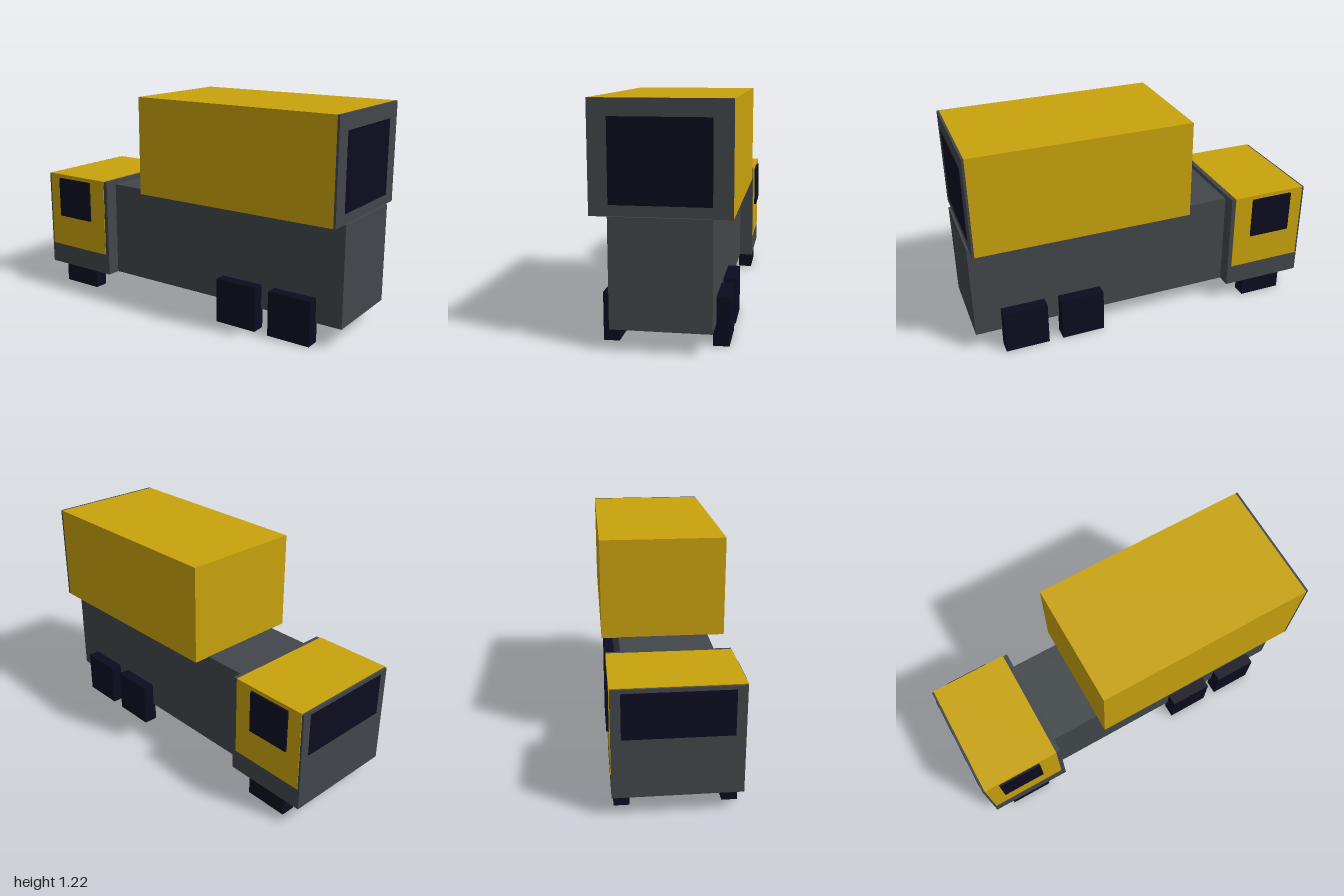
import * as THREE from 'three';

function material(name, color) {
  const m = new THREE.MeshStandardMaterial({ color });
  m.name = name;
  return m;
}

export function createModel() {
  const grey = material('slate grey', 0x42474b);
  const yellow = material('mustard yellow', 0xc9a20d);
  const navy = material('dark navy', 0x0c0c20);

  const truck = new THREE.Group();
  truck.name = 'boxTruck';

  // Box given by its minimum and maximum corners
  function box(name, mat, [x0, y0, z0], [x1, y1, z1]) {
    const mesh = new THREE.Mesh(new THREE.BoxGeometry(x1 - x0, y1 - y0, z1 - z0), mat);
    mesh.position.set((x0 + x1) / 2, (y0 + y1) / 2, (z0 + z1) / 2);
    mesh.name = name;
    truck.add(mesh);
  }

  // Long body, running forward to the cab (the cab is at -z)
  box('chassis', grey, [-0.25, 0.112, -0.53], [0.25, 0.663, 1]);

  // Cargo box: yellow shell, grey end panel with a dark door
  box('cargoBox', yellow, [-0.343, 0.661, -0.24], [0.343, 1.215, 0.976]);
  box('cargoEndPanel', grey, [-0.343, 0.661, 0.976], [0.343, 1.215, 0.988]);
  box('cargoDoor', navy, [-0.248, 0.717, 0.987], [0.248, 1.13, 0.991]);

  // Cab with a yellow painted roof and sides
  box('cab', grey, [-0.328, 0.112, -0.997], [0.328, 0.688, -0.517]);
  box('cabRoofPaint', yellow, [-0.331, 0.687, -0.985], [0.331, 0.691, -0.542]);
  box('windscreen', navy, [-0.277, 0.428, -1], [0.277, 0.668, -0.996]);

  for (const side of [-1, 1]) {
    const label = side > 0 ? 'left' : 'right';
    const sideBox = (name, mat, inner, outer, y0, y1, z0, z1) =>
      box(label + name, mat,
        [Math.min(side * inner, side * outer), y0, z0],
        [Math.max(side * inner, side * outer), y1, z1]);

    sideBox('CabPaint', yellow, 0.327, 0.331, 0.235, 0.691, -0.985, -0.542);
    sideBox('CabWindow', navy, 0.327, 0.343, 0.428, 0.668, -0.902, -0.652);

    // Block wheels: one pair under the cab, two pairs at the rear
    [['FrontWheel', -0.887], ['MiddleWheel', 0.272], ['RearWheel', 0.602]].forEach(([name, z]) =>
      sideBox(name, navy, 0.235, 0.316, 0, 0.25, z, z + 0.249));
  }

  return truck;
}
